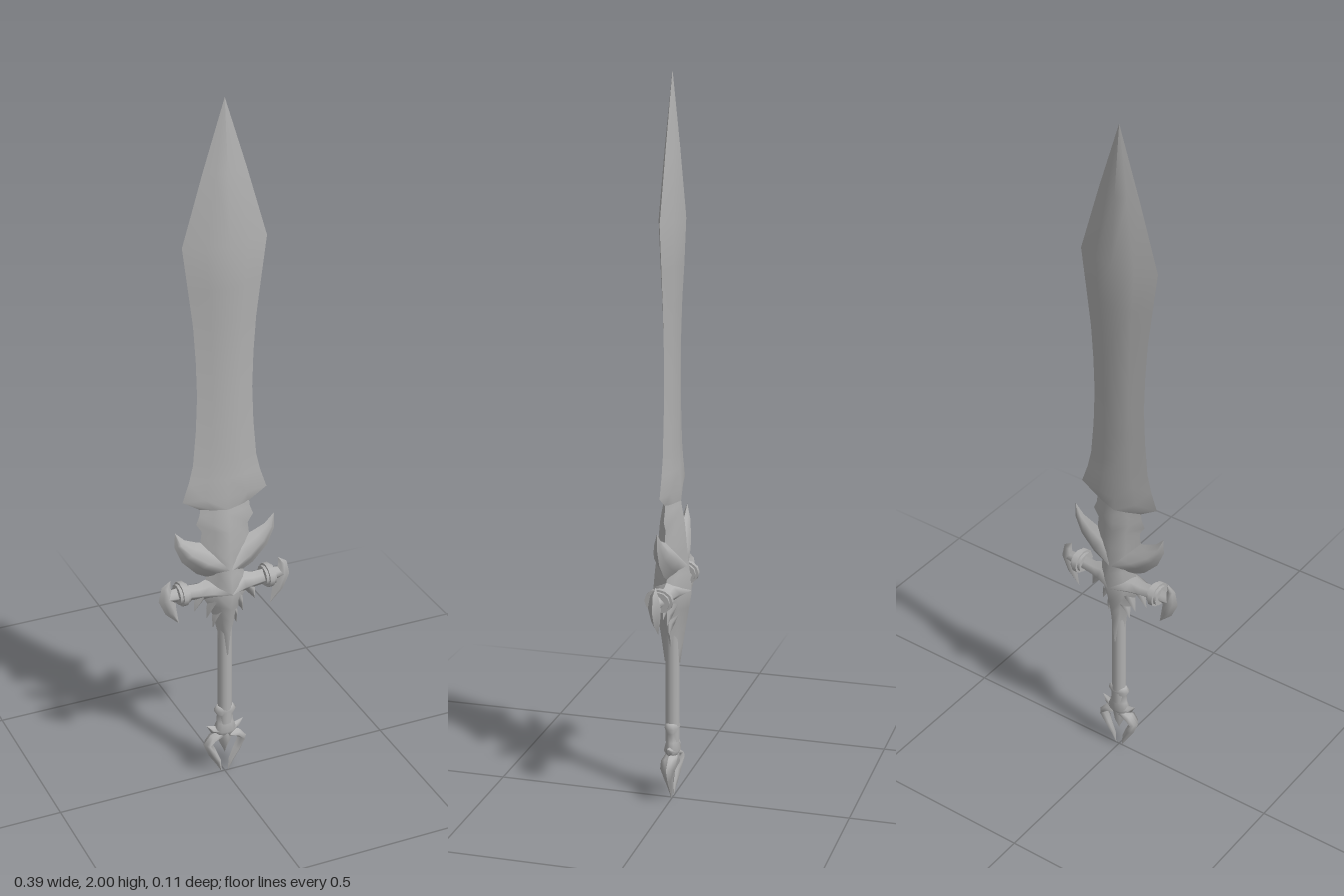
import * as THREE from 'three';
import { mergeGeometries } from 'three/addons/utils/BufferGeometryUtils.js';

// Diamond-like section swept along a path of [x, y, halfWidth, halfDepth] in the XY plane.
// The two faces are separate smooth sheets, so the outer edges stay sharp.
function ridged(path, rise = 0.5) {
  const columns = [[-1, 0], [-0.5, rise], [0, 1], [0.5, rise], [1, 0]];
  const sheets = [1, -1].map((side) => {
    const pos = [];
    const index = [];
    path.forEach(([x, y, w, d], i) => {
      const a = path[Math.max(i - 1, 0)];
      const b = path[Math.min(i + 1, path.length - 1)];
      const len = Math.hypot(b[0] - a[0], b[1] - a[1]);
      const nx = -(b[1] - a[1]) / len;
      const ny = (b[0] - a[0]) / len;
      for (const [u, h] of columns) pos.push(x + nx * u * w, y + ny * u * w, side * h * d);
    });
    const n = columns.length;
    for (let i = 0; i < path.length - 1; i++) {
      for (let j = 0; j < n - 1; j++) {
        const p = i * n + j;
        const q = p + n;
        if (side > 0) index.push(p, q, q + 1, p, q + 1, p + 1);
        else index.push(p, q + 1, q, p, p + 1, q + 1);
      }
    }
    const g = new THREE.BufferGeometry();
    g.setAttribute('position', new THREE.Float32BufferAttribute(pos, 3));
    g.setIndex(index);
    g.computeVertexNormals();
    return g;
  });
  return mergeGeometries(sheets);
}

export function createModel() {
  const group = new THREE.Group();
  const steel = new THREE.MeshStandardMaterial({ color: 0xb0b0b0 });
  steel.name = 'grey steel';

  const add = (name, geometry) => {
    const mesh = new THREE.Mesh(geometry, steel);
    mesh.name = name;
    group.add(mesh);
    return mesh;
  };
  // Same path on both sides of the sword
  const addPair = (name, path) => {
    add(name + 'Left', ridged(path));
    add(name + 'Right', ridged(path.map(([x, ...rest]) => [-x, ...rest])));
  };

  // Blade, from the tip down to the flared heel
  add('blade', ridged([
    [0, 2.0, 0, 0], [0, 1.81, 0.061, 0.02], [0, 1.62, 0.118, 0.037], [0, 1.5, 0.102, 0.032],
    [0, 1.4, 0.089, 0.026], [0, 1.3, 0.082, 0.022], [0, 1.2, 0.079, 0.02], [0, 1.1, 0.083, 0.019],
    [0, 1.0, 0.092, 0.019], [0, 0.95, 0.104, 0.021], [0, 0.895, 0.123, 0.023], [0, 0.86, 0.068, 0.024],
  ], 0.54));

  // Collar and body of the guard
  add('guardBody', ridged([
    [0, 0.88, 0.07, 0.02], [0, 0.845, 0.074, 0.026], [0, 0.82, 0.084, 0.031], [0, 0.795, 0.068, 0.035],
    [0, 0.74, 0.075, 0.04], [0, 0.7, 0.065, 0.044], [0, 0.66, 0.052, 0.049], [0, 0.605, 0.075, 0.054],
    [0, 0.56, 0.048, 0.047], [0, 0.52, 0.034, 0.04], [0, 0.47, 0.022, 0.032], [0, 0.4, 0.016, 0.022],
  ]));

  // Upswept wings
  addPair('wing', [
    [0, 0.68, 0.05, 0.044], [0.06, 0.71, 0.048, 0.034], [0.105, 0.74, 0.034, 0.022],
    [0.133, 0.772, 0.017, 0.012], [0.146, 0.808, 0, 0],
  ]);

  // Cross arms and their curved end claws
  addPair('guardArm', [
    [0, 0.61, 0.048, 0.054], [0.05, 0.614, 0.034, 0.036], [0.08, 0.612, 0.025, 0.027],
    [0.12, 0.615, 0.024, 0.023], [0.17, 0.615, 0.02, 0.016],
  ]);
  addPair('endClaw', [
    [0.16, 0.665, 0, 0], [0.174, 0.645, 0.013, 0.011], [0.172, 0.61, 0.024, 0.018],
    [0.16, 0.568, 0.017, 0.012], [0.137, 0.525, 0, 0],
  ]);

  // Small spikes hanging below the guard
  addPair('outerSpike', [[0.065, 0.61, 0.018, 0.02], [0.08, 0.58, 0.012, 0.012], [0.092, 0.55, 0, 0]]);
  addPair('middleSpike', [[0.035, 0.58, 0.016, 0.026], [0.046, 0.55, 0.01, 0.014], [0.055, 0.52, 0, 0]]);
  addPair('innerSpike', [[0.018, 0.55, 0.014, 0.026], [0.03, 0.52, 0.009, 0.014], [0.036, 0.485, 0, 0]]);

  // Stepped rings round the arms
  for (const side of [1, -1]) {
    for (const [radius, width] of [[0.032, 0.03], [0.039, 0.014]]) {
      const ring = add('armRing', new THREE.CylinderGeometry(radius, radius, width, 12));
      ring.rotation.z = Math.PI / 2;
      ring.scale.x = 0.85;
      ring.position.set(side * 0.128, 0.617, 0);
    }
  }

  // Grip and turned collar
  const grip = add('grip', new THREE.CylinderGeometry(0.02, 0.02, 0.38, 12));
  grip.position.y = 0.36;
  const collarProfile = [[0, 0.225], [0.024, 0.225], [0.033, 0.212], [0.024, 0.195], [0.026, 0.17],
    [0.036, 0.145], [0.02, 0.125], [0, 0.12]];
  const collar = add('pommelCollar', new THREE.LatheGeometry(
    collarProfile.map(([r, y]) => new THREE.Vector2(r, y)).reverse(), 12));
  collar.scale.z = 0.64;

  // Pommel with side barbs, a centre spike and two closing claws
  addPair('pommelBarb', [[0.01, 0.145, 0.018, 0.02], [0.038, 0.15, 0.011, 0.012], [0.056, 0.166, 0, 0]]);
  add('pommelSpike', ridged([[0, 0.14, 0.026, 0.02], [0, 0.11, 0.02, 0.021], [0, 0.065, 0, 0]]));
  addPair('pommelClaw', [
    [0.01, 0.13, 0.014, 0.018], [0.038, 0.122, 0.012, 0.022], [0.053, 0.105, 0.013, 0.02],
    [0.038, 0.07, 0.013, 0.014], [0.02, 0.035, 0.009, 0.008], [0.01, 0, 0, 0],
  ]);

  return group;
}
